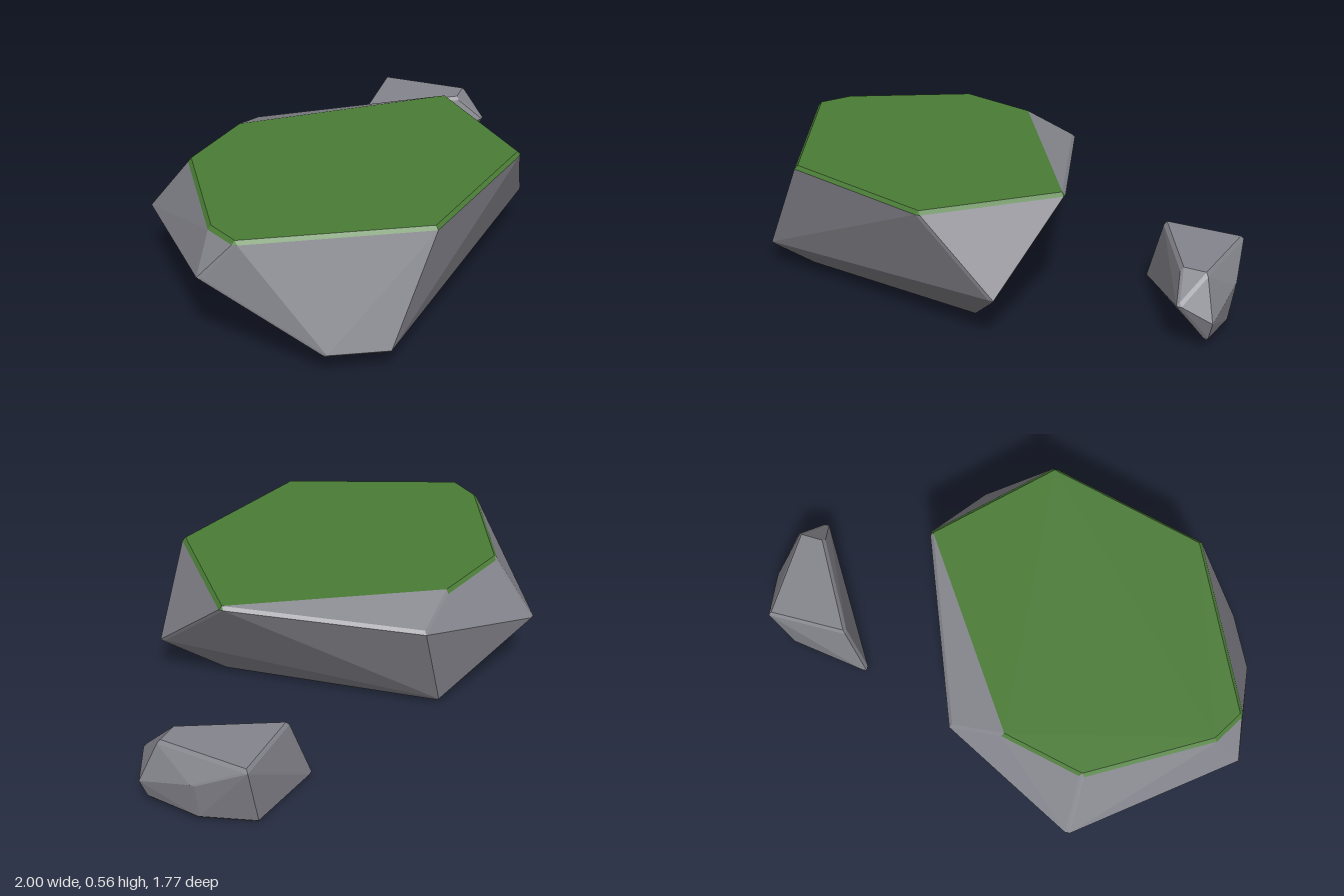
import * as THREE from 'three';
import { ConvexGeometry } from 'three/addons/geometries/ConvexGeometry.js';

const stone = new THREE.MeshStandardMaterial({ color: 0x85858d });
stone.name = 'stone grey';
const grass = new THREE.MeshStandardMaterial({ color: 0x4a7c36 });
grass.name = 'grass green';

// Convex boulder from its corners, each corner softened by a tiny octahedron
// so that all edges get a narrow chamfer. Faces wholly above grassY are grass.
function boulder(name, corners, r, grassY = Infinity) {
  const centre = new THREE.Vector3();
  corners.forEach((c) => centre.add(new THREE.Vector3(...c)));
  centre.divideScalar(corners.length);

  const points = [];
  for (const c of corners) {
    const p = new THREE.Vector3(...c);
    const inset = new THREE.Vector3(p.x - centre.x, 0, p.z - centre.z).setLength(r);
    p.sub(inset);
    for (const s of [-r, r]) {
      points.push(
        new THREE.Vector3(p.x + s, p.y, p.z),
        new THREE.Vector3(p.x, p.y + s, p.z),
        new THREE.Vector3(p.x, p.y, p.z + s)
      );
    }
  }

  // One material group for each triangle
  const geometry = new ConvexGeometry(points);
  const pos = geometry.attributes.position;
  for (let i = 0; i < pos.count; i += 3) {
    const low = Math.min(pos.getY(i), pos.getY(i + 1), pos.getY(i + 2));
    geometry.addGroup(i, 3, low > grassY ? 1 : 0);
  }
  const mesh = new THREE.Mesh(geometry, [stone, grass]);
  mesh.name = name;
  return mesh;
}

export function createModel() {
  const model = new THREE.Group();
  model.name = 'rocks';

  const top = 0.55, base = 0.033;
  model.add(boulder('grassToppedBoulder', [
    // flat top
    [-0.42, top, -0.36], [0.51, top, -0.13], [0.48, top, 0.48],
    [-0.15, top, 0.82], [-0.88, top, 0.52], [-0.91, top, 0.37], [-0.74, top, -0.18],
    // shoulders
    [-0.25, 0.475, -0.51], [-0.86, 0.31, -0.32], [-1.0, 0.4, 0.44],
    [0.67, 0.22, 0.24], [-0.4, 0.115, 0.885], [-0.64, 0.12, 0.79],
    // underside
    [0.4, base, 0.21], [-0.32, base, 0.73], [-0.39, base, -0.38], [-0.74, 0.06, -0.13]
  ], 0.015, 0.53));

  model.add(boulder('smallBoulder', [
    // flat top
    [0.4, 0.3, -0.65], [0.65, 0.3, -0.885], [0.92, 0.3, -0.57], [0.84, 0.3, -0.5],
    // shoulders
    [0.84, 0.2, -0.76], [0.94, 0.2, -0.44], [1.0, 0.13, -0.56], [0.97, 0.05, -0.56],
    // underside
    [0.3, 0.02, -0.63], [0.59, 0.015, -0.83], [0.82, 0.03, -0.74], [0.87, 0.015, -0.6]
  ], 0.015));

  return model;
}
